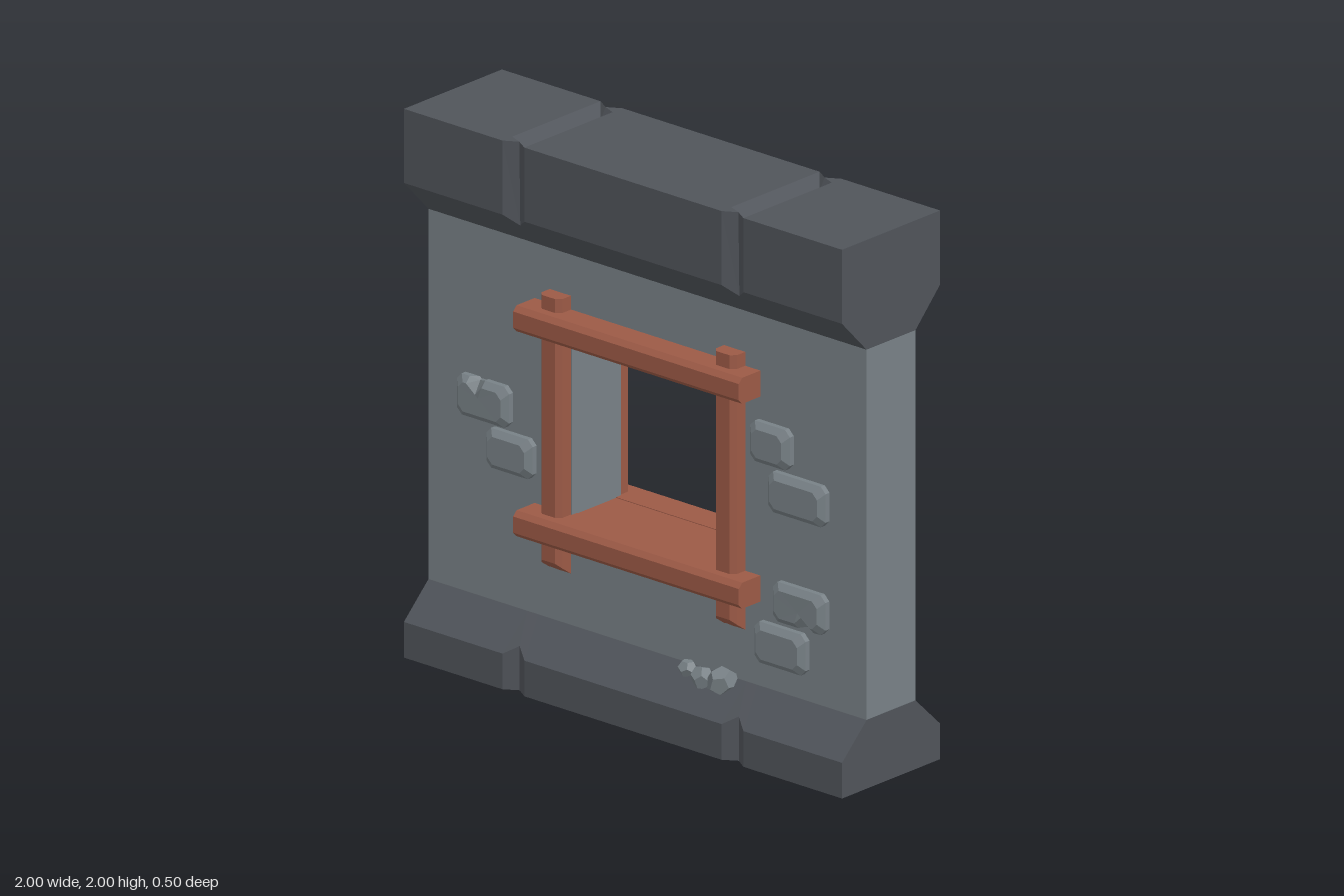
import * as THREE from 'three';

// Joins matching cross-sections into a flat-shaded skin; ends are closed with fans
function loft(rings, closed, capFirst) {
  const pos = [], n = rings[0].length, last = rings.length - 1;
  const tri = (...pts) => pts.forEach(p => pos.push(...p));
  for (let i = 0; i < last; i++) {
    for (let j = 0; j < (closed ? n : n - 1); j++) {
      const k = (j + 1) % n;
      const a = rings[i][j], b = rings[i][k], c = rings[i + 1][k], d = rings[i + 1][j];
      tri(a, b, c);
      tri(a, c, d);
    }
  }
  const cap = (ring, flip) => {
    const mid = [0, 1, 2].map(q => ring.reduce((s, p) => s + p[q], 0) / n);
    for (let j = 0; j < n; j++) {
      const a = ring[j], b = ring[(j + 1) % n];
      flip ? tri(mid, b, a) : tri(mid, a, b);
    }
  };
  if (capFirst) cap(rings[0], true);
  cap(rings[last], false);
  const g = new THREE.BufferGeometry();
  g.setAttribute('position', new THREE.Float32BufferAttribute(pos, 3));
  g.computeVertexNormals();
  return g;
}

// Long course along x with V-grooves at x = +-0.5; profiles are [z, y]
function course(full, groove) {
  const stations = [1, 0.55, 0.5, 0.45, -0.45, -0.5, -0.55, -1];
  return loft(stations.map(x => (Math.abs(x) === 0.5 ? groove : full).map(([z, y]) => [x, y, z])), false, true);
}

// Protruding brick, optionally with a chip in its top edge at cx
function brickGeometry(w, h, cx = 0, chip = 0) {
  const ring = (inset, z, drop, dz) => {
    const x = w / 2 - inset, y = h / 2 - inset, c = 0.022;
    return [[x, -y + c, z], [x, y - c, z], [x - c, y, z],
      [cx + 0.035, y, z], [cx, y - drop, z - dz], [cx - 0.035, y, z],
      [-x + c, y, z], [-x, y - c, z], [-x, -y + c, z], [-x + c, -y, z], [x - c, -y, z]];
  };
  return loft([ring(0, 0.12, 0, 0), ring(0, 0.145, chip * 0.3, chip * 0.4), ring(0.022, 0.165, chip, chip * 0.2)], true, false);
}

// Timber along z with its two front edges bevelled
function timberGeometry(w, depth, length, bevel) {
  const s = new THREE.Shape([[-w / 2, 0], [w / 2, 0], [w / 2, depth - bevel], [w / 2 - bevel, depth],
    [-w / 2 + bevel, depth], [-w / 2, depth - bevel]].map(p => new THREE.Vector2(...p)));
  return new THREE.ExtrudeGeometry(s, { depth: length, bevelEnabled: false }).translate(0, 0, -length / 2);
}

export function createModel() {
  const model = new THREE.Group();
  const material = (name, color) => Object.assign(new THREE.MeshStandardMaterial({ color }), { name });
  const dark = material('darkStone', 0x50545a);
  dark.side = THREE.DoubleSide;
  const stone = material('greyStone', 0x788186);
  const wood = material('redBrownWood', 0x9c5a46);
  const add = (parent, name, geometry, mat, x = 0, y = 0, z = 0) => {
    const m = new THREE.Mesh(geometry, mat);
    m.name = name;
    m.position.set(x, y, z);
    parent.add(m);
    return m;
  };

  // Wall panel with the window opening
  const rect = (C, x, y0, y1) => new C([[-x, y0], [x, y0], [x, y1], [-x, y1]].map(p => new THREE.Vector2(...p)));
  const panel = rect(THREE.Shape, 1, 0.251, 1.6);
  panel.holes.push(rect(THREE.Path, 0.345, 0.55, 1.4));
  add(model, 'wall', new THREE.ExtrudeGeometry(panel, { depth: 0.25, bevelEnabled: false }), stone, 0, 0, -0.125);

  // Grooved coping on top and open-bottomed plinth below
  const mirror = half => [...half, ...half.map(([z, y]) => [-z, y]).reverse()];
  add(model, 'coping', course(
    mirror([[0.125, 1.6], [0.25, 1.73], [0.25, 2], [0.2, 2]]),
    mirror([[0.125, 1.6], [0.215, 1.693], [0.22, 2], [0.195, 1.96]])), dark);
  add(model, 'plinth', course(
    mirror([[0.25, 0], [0.25, 0.13], [0.125, 0.25]]),
    mirror([[0.218, 0], [0.218, 0.161], [0.125, 0.25]])), dark);

  // Lining boards through the opening
  for (const [name, y] of [['windowSill', 0.605], ['windowHead', 1.35]]) {
    add(model, name, new THREE.BoxGeometry(0.69, 0.09, 0.26), wood, 0, y, 0);
  }

  // Post with its lower end cut on a slant
  const post = timberGeometry(0.097, 0.085, 1.03, 0.018).rotateX(Math.PI / 2).scale(1, -1, -1);
  post.rotateX(0);
  const p = post.attributes.position;
  // Stand upright with the bevel facing +z
  const upright = timberGeometry(0.097, 0.085, 1.03, 0.018).rotateX(Math.PI / 2);
  p.copy(upright.attributes.position);
  for (let i = 0; i < p.count; i++) {
    if (p.getY(i) < 0) p.setY(i, p.getY(i) + Math.max(0, p.getZ(i) - 0.02));
  }
  post.computeVertexNormals();
  const beam = timberGeometry(0.095, 0.135, 1.03, 0.018).rotateX(Math.PI / 2).rotateZ(Math.PI / 2);

  const bricks = [[0.577, 1.148, 0.182, 0.148], [0.7, 0.983, 0.262, 0.148], [0.71, 0.588, 0.24, 0.145, -0.03, 0.035, Math.PI],
    [0.623, 0.42, 0.233, 0.15], [-0.733, 0.975, 0.238, 0.15, -0.025, 0.035], [-0.612, 0.813, 0.212, 0.145]];
  const rubble = [
    [[0.2, 0.24, 0.037], [0.28, 0.228, 0.048], [0.365, 0.235, 0.06]],
    [[-0.04, 0.23, 0.037], [0.15, 0.235, 0.06], [0.25, 0.228, 0.042]]];

  // Both faces carry the same frame and bricks, turned half way round
  for (let s = 0; s < 2; s++) {
    const face = new THREE.Group();
    face.name = s ? 'backFace' : 'frontFace';
    face.rotation.y = s * Math.PI;
    model.add(face);
    for (const x of [-0.398, 0.398]) add(face, 'windowPost', post, wood, x, 0.935, 0.1);
    for (const y of [0.605, 1.352]) add(face, 'windowBeam', beam, wood, 0, y, 0.1);
    for (const [x, y, w, h, cx, chip, turn = 0] of bricks) {
      add(face, 'brick', brickGeometry(w, h, cx, chip), stone, x, y).rotation.z = turn;
    }
    rubble[s].forEach(([x, y, r], i) => {
      const rock = add(face, 'rubble', new THREE.DodecahedronGeometry(r), stone, x, y, 0.385 - y);
      rock.rotation.set(0.5 + i, i * 1.7, 0.4 * i);
      rock.scale.set(1, 0.85, 0.9);
    });
  }
  return model;
}
